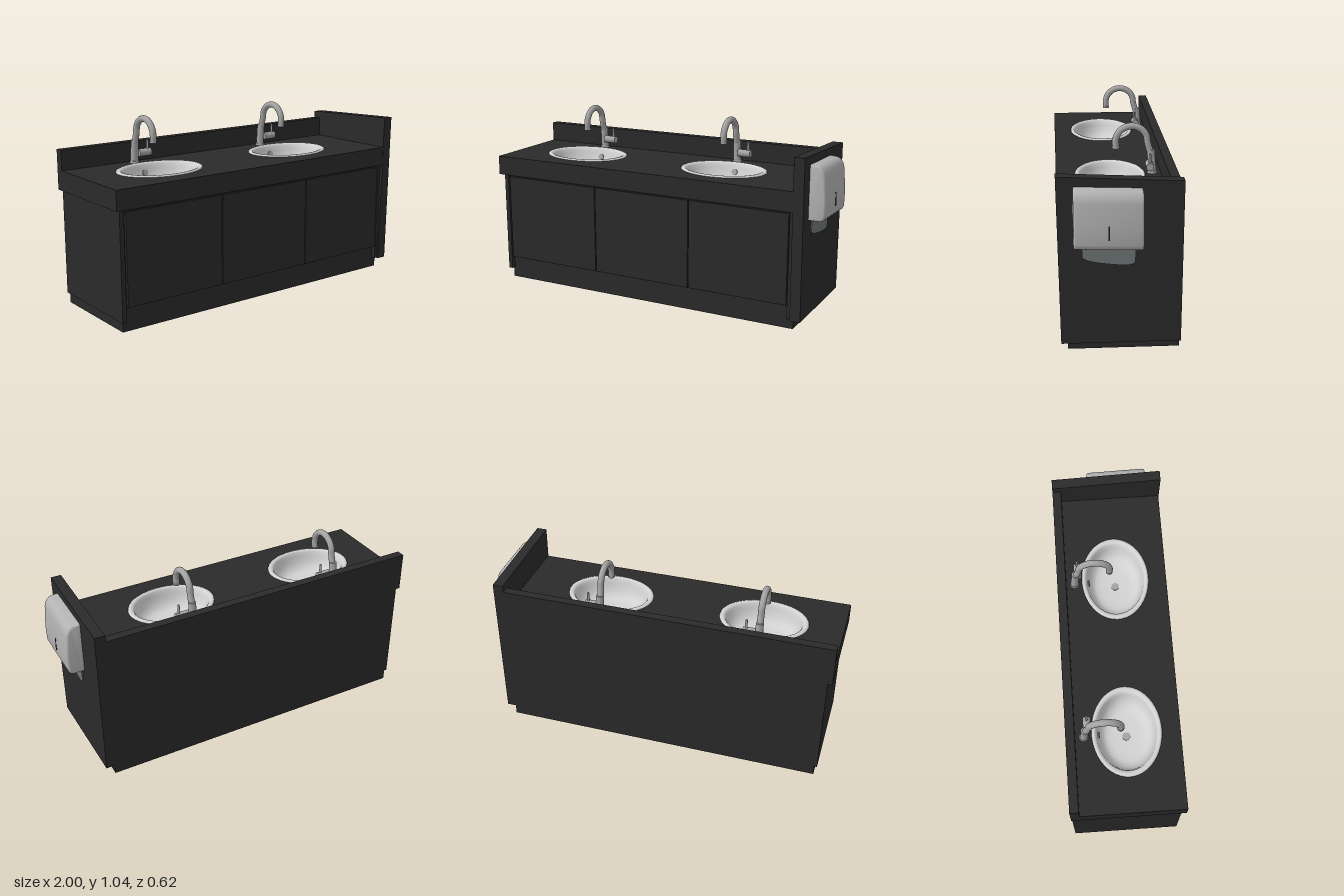
import * as THREE from 'three';
import { toCreasedNormals } from 'three/addons/utils/BufferGeometryUtils.js';

const mat = (name, color) => {
  const m = new THREE.MeshStandardMaterial({ color });
  m.name = name;
  return m;
};

export function createModel() {
  const black = mat('black laminate', 0x2a2a2a);
  const porcelain = mat('basin porcelain', 0xd2d2d2);
  const metal = mat('faucet metal', 0xa3a3a3);
  const plastic = mat('dispenser plastic', 0xb2b2b2);
  const paperGrey = mat('paper grey', 0x6f7576);
  const dark = mat('dark slot', 0x181818);

  const root = new THREE.Group();
  root.name = 'doubleWashstand';

  const add = (name, geo, material, parent = root) => {
    const m = new THREE.Mesh(geo, material);
    m.name = name;
    parent.add(m);
    return m;
  };
  // Box given by its limits on each axis
  const box = (name, [x0, x1], [y0, y1], [z0, z1], material = black, parent = root) => {
    const m = add(name, new THREE.BoxGeometry(x1 - x0, y1 - y0, z1 - z0), material, parent);
    m.position.set((x0 + x1) / 2, (y0 + y1) / 2, (z0 + z1) / 2);
    return m;
  };

  // Cabinet carcass, hollow so that the basins fit inside
  box('plinth', [-0.96, 0.86], [0, 0.135], [-0.308, 0.26]);
  box('backPanel', [-0.975, 0.86], [0.06, 0.65], [-0.31, -0.29]);
  box('endPanel', [-0.975, -0.95], [0.06, 0.65], [-0.309, 0.287]);
  box('frontFrame', [-0.952, 0.86], [0.13, 0.65], [0.25, 0.272]);
  box('rightStile', [0.832, 0.86], [0.06, 0.65], [0.25, 0.287]);

  // Three doors with narrow gaps
  for (const [a, b] of [[-0.94, -0.348], [-0.342, 0.247], [0.253, 0.826]]) {
    box('door', [a, b], [0.137, 0.637], [0.27, 0.288]);
  }

  // Countertop with an oval hole for each basin
  const basinZ = 0.015;
  const basinXs = [-0.56, 0.335];
  const top = new THREE.Shape();
  top.moveTo(-1, -0.305).lineTo(0.86, -0.305).lineTo(0.86, 0.31).lineTo(-1, 0.31).closePath();
  for (const x of basinXs) {
    top.holes.push(new THREE.Path().absellipse(x, -basinZ, 0.235, 0.175, 0, Math.PI * 2, true));
  }
  const topGeo = new THREE.ExtrudeGeometry(top, { depth: 0.11, bevelEnabled: false, curveSegments: 40 });
  topGeo.rotateX(-Math.PI / 2).translate(0, 0.65, 0);
  add('countertop', topGeo, black);
  box('backsplash', [-1, 0.86], [0.755, 0.872], [-0.31, -0.262]);

  // Side panel, slightly sloped at the top and front
  const side = new THREE.Shape();
  side.moveTo(-0.295, 0.057).lineTo(0.31, 0.057).lineTo(0.31, 0.91).lineTo(-0.311, 0.94).closePath();
  const sideGeo = new THREE.ExtrudeGeometry(side, { depth: 0.058, bevelEnabled: false });
  sideGeo.rotateY(Math.PI / 2).translate(0.852, 0, 0);
  add('sidePanel', sideGeo, black);

  // Oval basin: rim, bowl and floor
  const basinProfile = [
    [0.25, 0.755], [0.248, 0.765], [0.238, 0.769], [0.224, 0.767], [0.215, 0.757], [0.208, 0.735],
    [0.197, 0.7], [0.175, 0.668], [0.145, 0.654], [0.11, 0.649], [0.05, 0.646], [0, 0.645],
  ].map(([r, y]) => new THREE.Vector2(r, y));

  const makeBasin = (x) => {
    const g = new THREE.Group();
    g.name = 'basin';
    g.position.set(x, 0, basinZ);
    const bowl = add('bowl', new THREE.LatheGeometry(basinProfile, 48), porcelain, g);
    bowl.scale.z = 0.76;
    const overflow = add('overflowCap', new THREE.CylinderGeometry(0.017, 0.017, 0.008, 20), metal, g);
    overflow.rotation.x = Math.PI / 2 - 0.25;
    overflow.position.set(0, 0.715, -0.151);
    const drain = add('drain', new THREE.CylinderGeometry(0.022, 0.022, 0.006, 20), metal, g);
    drain.position.y = 0.647;
    root.add(g);
  };

  // Swan-neck faucet with a side lever
  const makeFaucet = (x) => {
    const g = new THREE.Group();
    g.name = 'faucet';
    g.position.set(x, 0, 0);
    const foot = add('foot', new THREE.CylinderGeometry(0.025, 0.027, 0.014, 20), metal, g);
    foot.position.set(0, 0.766, -0.215);
    const body = add('body', new THREE.CylinderGeometry(0.021, 0.022, 0.13, 20), metal, g);
    body.position.set(0, 0.825, -0.211);
    body.rotation.x = 0.07;
    const pts = [[0.87, -0.205], [0.93, -0.188]];
    for (let i = 1; i <= 8; i++) {
      const a = Math.PI * (1 - i / 8);
      pts.push([0.935 + 0.086 * Math.sin(a), -0.102 + 0.086 * Math.cos(a)]);
    }
    pts.push([0.905, -0.018]);
    const path = new THREE.CatmullRomCurve3(pts.map(([y, z]) => new THREE.Vector3(0, y, z)));
    add('spout', new THREE.TubeGeometry(path, 40, 0.018, 14), metal, g);
    const tip = add('spoutTip', new THREE.CylinderGeometry(0.019, 0.019, 0.012, 16), metal, g);
    tip.position.set(0, 0.905, -0.018);
    const valve = add('valve', new THREE.CylinderGeometry(0.021, 0.021, 0.075, 18), metal, g);
    valve.rotation.z = Math.PI / 2;
    valve.position.set(0.053, 0.817, -0.195);
    const lever = add('lever', new THREE.CylinderGeometry(0.006, 0.008, 0.068, 10), metal, g);
    lever.position.set(0.074, 0.853, -0.195);
    root.add(g);
  };

  basinXs.forEach((x) => {
    makeBasin(x);
    makeFaucet(x - 0.018);
  });

  // Towel dispenser: bulging side profile with softened ends
  const dispenser = new THREE.Group();
  dispenser.name = 'towelDispenser';
  root.add(dispenser);
  const shear = (geo) => {
    const p = geo.attributes.position;
    for (let i = 0; i < p.count; i++) p.setY(i, p.getY(i) + 0.035 * (p.getZ(i) - 0.06));
    geo.computeVertexNormals();
    return geo;
  };
  const prof = new THREE.Shape();
  prof.moveTo(0.914, 0.6).lineTo(0.968, 0.6).quadraticCurveTo(0.984, 0.602, 0.986, 0.62)
    .lineTo(0.988, 0.7).lineTo(0.978, 0.82).quadraticCurveTo(0.972, 0.862, 0.945, 0.87)
    .lineTo(0.914, 0.873).closePath();
  const caseGeo = new THREE.ExtrudeGeometry(prof, {
    depth: 0.314, bevelEnabled: true, bevelThickness: 0.012, bevelSize: 0.011, bevelSegments: 3, curveSegments: 6,
  });
  caseGeo.translate(0, 0, -0.097);
  add('dispenserCase', toCreasedNormals(shear(caseGeo), 0.6), plastic, dispenser);
  const slot = box('slot', [0.997, 1.0], [0.648, 0.72], [0.055, 0.063], dark, dispenser);
  slot.rotation.z = 0.03;

  // Sheet of paper hanging below with an uneven lower edge
  const paper = new THREE.Shape();
  paper.moveTo(-0.188, 0.6).lineTo(-0.186, 0.525).quadraticCurveTo(-0.165, 0.51, -0.14, 0.505)
    .quadraticCurveTo(-0.06, 0.487, 0.03, 0.483).quadraticCurveTo(0.07, 0.484, 0.075, 0.505)
    .lineTo(0.076, 0.6).closePath();
  const paperGeo = new THREE.ExtrudeGeometry(paper, { depth: 0.006, bevelEnabled: false });
  paperGeo.rotateY(Math.PI / 2).translate(0.911, 0, 0);
  add('paperTowel', paperGeo, paperGrey, dispenser);

  return root;
}
